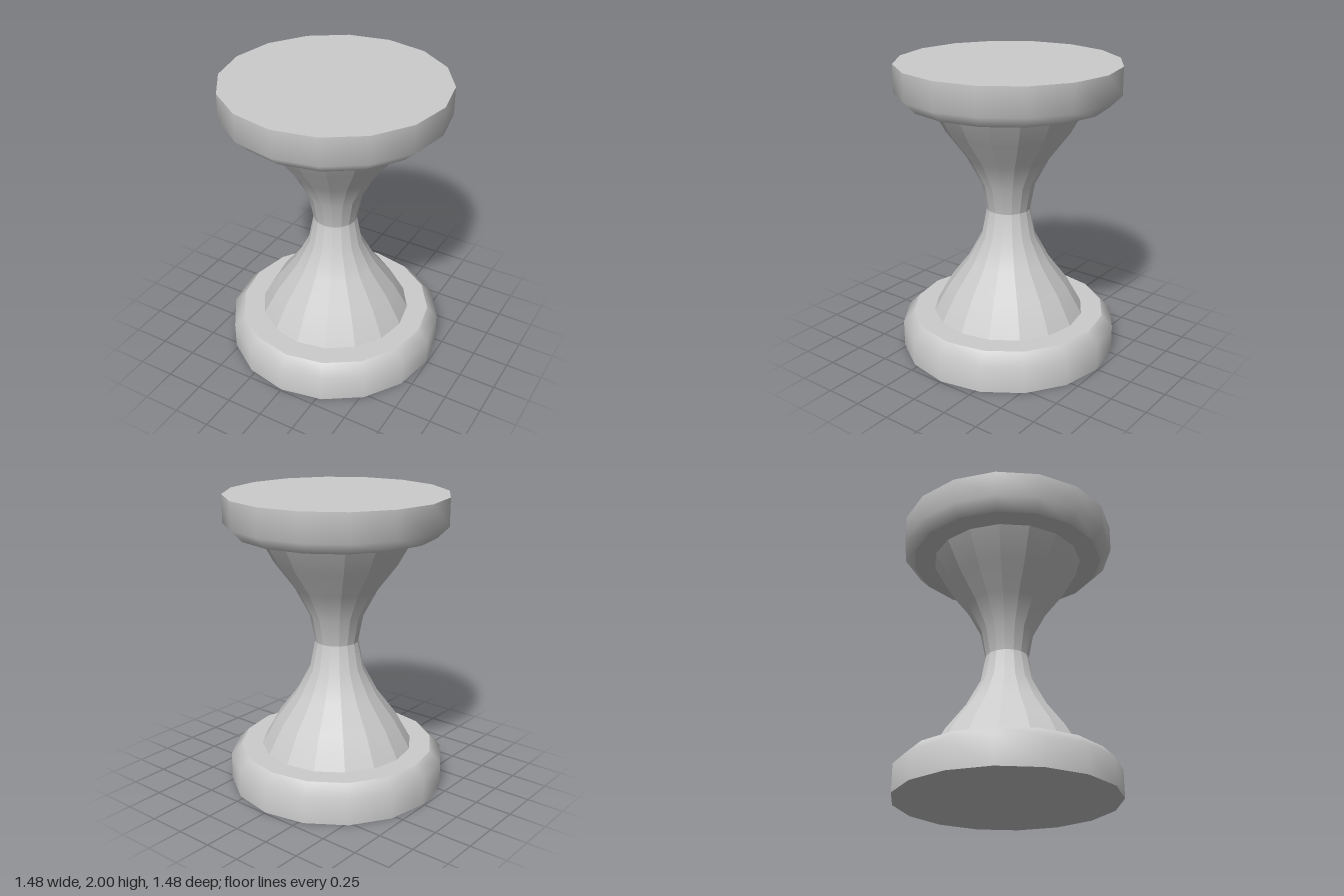
import * as THREE from 'three';
import { mergeGeometries } from 'three/addons/utils/BufferGeometryUtils.js';

const SIDES = 16;
const lathe = (pts) =>
  new THREE.LatheGeometry(pts.map(([r, y]) => new THREE.Vector2(r, y)), SIDES);

// Bevelled disc: smooth side and chamfer, with crisp flat ends
function discGeometry() {
  return mergeGeometries([
    lathe([[0, 0], [0.74, 0]]),
    lathe([[0.74, 0], [0.74, 0.185], [0.665, 0.26]]),
    lathe([[0.665, 0.26], [0, 0.26]]),
  ]);
}

// Flared half bulb: smooth along its height, faceted around its axis
function bulbGeometry() {
  const g = lathe([[0.52, 0.26], [0.415, 0.45], [0.28, 0.63], [0.183, 0.815], [0.148, 1]]).toNonIndexed();
  const p = g.attributes.position, n = g.attributes.normal;
  const step = (Math.PI * 2) / SIDES;
  for (let i = 0; i < p.count; i += 3) {
    const cx = p.getX(i) + p.getX(i + 1) + p.getX(i + 2);
    const cz = p.getZ(i) + p.getZ(i + 1) + p.getZ(i + 2);
    const mid = (Math.floor(Math.atan2(cx, cz) / step) + 0.5) * step;
    for (let k = i; k < i + 3; k++) {
      const h = Math.hypot(n.getX(k), n.getZ(k));
      n.setXYZ(k, Math.sin(mid) * h, n.getY(k), Math.cos(mid) * h);
    }
  }
  return g;
}

export function createModel() {
  const model = new THREE.Group();
  model.name = 'hourglass';
  const material = new THREE.MeshStandardMaterial({ color: 0xcccccc });
  const disc = discGeometry(), bulb = bulbGeometry();

  // Two identical halves, the upper one turned over
  for (const name of ['lower', 'upper']) {
    const half = new THREE.Group();
    half.name = name + 'Half';
    for (const [part, geometry] of [['Disc', disc], ['Bulb', bulb]]) {
      const mesh = new THREE.Mesh(geometry, material);
      mesh.name = name + part;
      half.add(mesh);
    }
    if (name === 'upper') {
      half.rotation.x = Math.PI;
      half.position.y = 2;
    }
    model.add(half);
  }
  return model;
}
